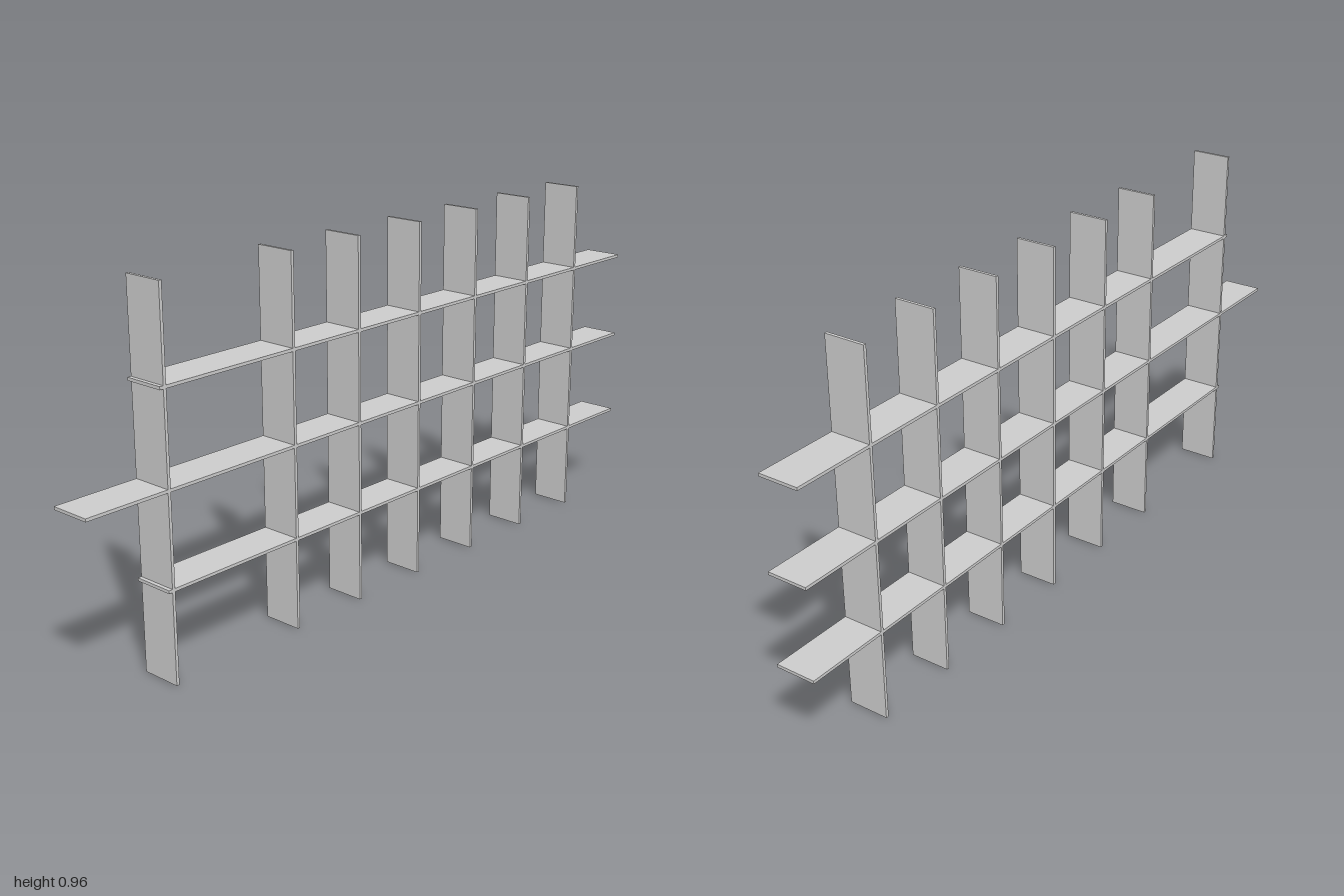
import * as THREE from 'three';

const THICK = 0.008, DEPTH = 0.108, HEIGHT = 0.957;

export function createModel() {
  const group = new THREE.Group();
  const material = new THREE.MeshStandardMaterial({ color: 0xcccccc });

  const addBoard = (name, width, height, x, y) => {
    const board = new THREE.Mesh(new THREE.BoxGeometry(width, height, DEPTH), material);
    board.name = name;
    board.position.set(x, y, 0);
    group.add(board);
  };

  // Upright boards: six evenly spaced, one set further out
  const uprights = [-0.768];
  for (let i = 0; i < 6; i++) uprights.push(-0.371 + i * 0.2287);
  uprights.forEach((x, i) => addBoard(`upright${i + 1}`, THICK, HEIGHT, x, HEIGHT / 2));

  // Shelves: the middle one runs past the outer upright
  [[0.239, -0.782], [0.4795, -1], [0.72, -0.782]].forEach(([y, start], i) =>
    addBoard(`shelf${i + 1}`, 1 - start, THICK, (1 + start) / 2, y));

  return group;
}
